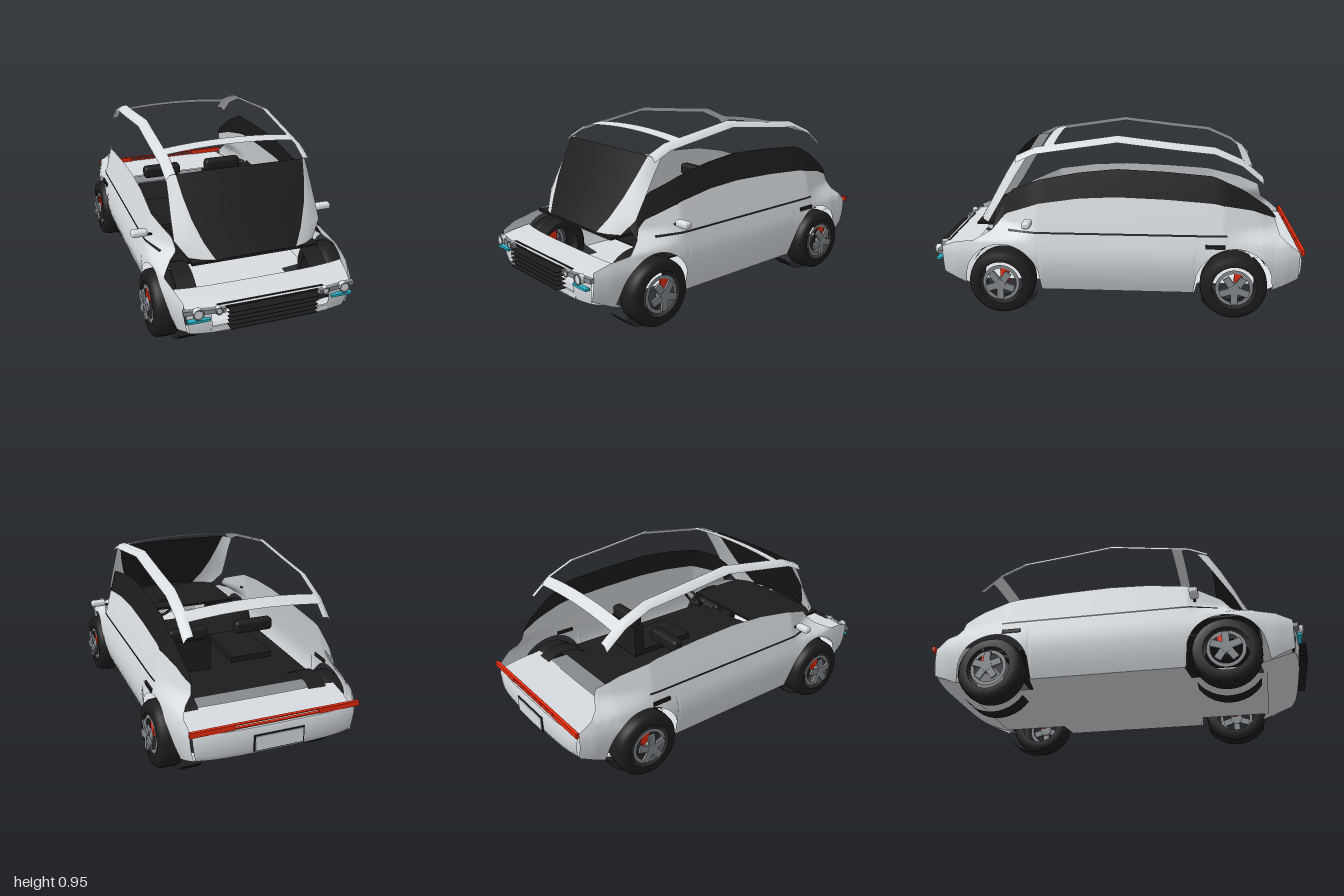
import * as THREE from 'three';
import { RoundedBoxGeometry } from 'three/addons/geometries/RoundedBoxGeometry.js';

const mat = (name, color) => {
  const m = new THREE.MeshStandardMaterial({ color, side: THREE.DoubleSide });
  m.name = name;
  return m;
};

export function createModel() {
  const car = new THREE.Group();
  car.name = 'car';
  const paint = mat('silver paint', 0xd8dce0), black = mat('black trim', 0x1d1d1d);
  const metal = mat('grey metal', 0x85898e), red = mat('red', 0xe82c10), cyan = mat('cyan lamp', 0x28b2c8);

  const add = (name, geo, m, x = 0, y = 0, z = 0, parent = car) => {
    const mesh = new THREE.Mesh(geo, m);
    mesh.name = name;
    mesh.position.set(x, y, z);
    parent.add(mesh);
    return mesh;
  };
  const box = (name, m, w, h, d, x, y, z) => add(name, new THREE.BoxGeometry(w, h, d), m, x, y, z);

  // skin stretched over equal-length rows of [x, y, z] points
  const loft = (name, m, rows) => {
    const n = rows[0].length, idx = [];
    for (let i = 0; i < rows.length - 1; i++)
      for (let j = 0; j < n - 1; j++) {
        const a = i * n + j, b = a + n;
        idx.push(a, a + 1, b, b, a + 1, b + 1);
      }
    const g = new THREE.BufferGeometry();
    g.setAttribute('position', new THREE.Float32BufferAttribute(rows.flat(2), 3));
    g.setIndex(idx);
    g.computeVertexNormals();
    return add(name, g, m);
  };

  // piecewise-linear lookup over ascending [key, value] pairs
  const lerp = (pts, t) => {
    if (t <= pts[0][0]) return pts[0][1];
    for (let i = 1; i < pts.length; i++) {
      const [a, va] = pts[i - 1], [b, vb] = pts[i];
      if (t <= b) return va + (vb - va) * (t - a) / (b - a);
    }
    return pts[pts.length - 1][1];
  };

  // body outline: half width, shoulder height, window top, sill and end lean by z
  const WIDTH = [[-0.97, 0.42], [-0.88, 0.455], [-0.75, 0.482], [-0.55, 0.495], [0.5, 0.495], [0.7, 0.485], [0.85, 0.455], [0.95, 0.42]];
  const TOP = [[-0.95, 0.37], [-0.9, 0.41], [-0.84, 0.46], [-0.82, 0.54], [-0.7, 0.585], [-0.5, 0.625], [-0.25, 0.642], [0, 0.65],
    [0.2, 0.64], [0.41, 0.61], [0.59, 0.54], [0.66, 0.46], [0.75, 0.415], [0.85, 0.4], [0.95, 0.36]];
  const GLASS = [[-0.82, 0.55], [-0.78, 0.6], [-0.65, 0.69], [-0.5, 0.76], [-0.25, 0.78], [0, 0.79], [0.2, 0.77], [0.41, 0.73], [0.55, 0.67], [0.66, 0.57]];
  const SILL = [[-0.97, 0.23], [-0.8, 0.155], [-0.75, 0.145], [0.75, 0.145], [0.78, 0.15], [0.95, 0.23]];
  const LEAN = [[-0.85, 0.06], [-0.55, 0], [0.42, 0], [0.66, 0.1], [0.75, 0.12]];
  const AXLES = [0.6, -0.61], ARCH = 0.2;
  const halfWidth = (z, y) => lerp(WIDTH, z) -
    (y < 0.35 ? 0.05 * ((0.35 - y) / 0.21) ** 2 : 0.07 * ((y - 0.35) / 0.3) ** 1.1) -
    lerp(LEAN, z) * THREE.MathUtils.clamp((y - 0.42) / 0.07, 0, 1);
  const sill = z => {
    let y = lerp(SILL, z);
    for (const a of AXLES) {
      const d = Math.abs(z - a);
      if (d < ARCH) y = Math.max(y, 0.2 + Math.sqrt(ARCH * ARCH - d * d));
    }
    return y;
  };
  const steps = (a, b, n) => Array.from({ length: n + 1 }, (_, i) => a + (b - a) * i / n);

  // side panels with open wheel arches
  for (const s of [1, -1]) {
    loft('sidePanel', paint, steps(-0.95, 0.93, 141).map(z => {
      const lo = sill(z), hi = Math.max(lo + 0.005, lerp(TOP, z));
      return steps(lo, hi, 10).map(y => [s * halfWidth(z, y), y, z]);
    }));
    loft('doorSeam', black, steps(-0.57, 0.57, 24).map(z =>
      [0.46, 0.47].map(y => [s * (halfWidth(z, y) + 0.004), y, z])));
    box('doorHandle', black, 0.015, 0.02, 0.1, s * 0.483, 0.41, -0.51);
  }
  // side glass on one side only
  loft('sideWindow', black, steps(-0.82, 0.66, 40).map(z => {
    const lo = lerp(TOP, z), hi = Math.max(lo, lerp(GLASS, z));
    return steps(lo, hi, 3).map(y => [halfWidth(z, y), y, z]);
  }));

  // panels running across the car, bowed in plan; x range as a fraction of half width
  const across = (name, m, profile, from = -1, to = 1) => loft(name, m, profile.map(([z, y]) =>
    steps(from, to, 16).map(t => [t * halfWidth(z, y), y, z - Math.sign(z) * 0.03 * Math.abs(t) ** 4])));
  across('rearPanel', paint, [[-0.78, 0.15], [-0.97, 0.215], [-0.988, 0.25], [-0.99, 0.32], [-0.98, 0.358]]);
  across('rearDeck', paint, [[-0.98, 0.358], [-0.85, 0.352], [-0.7, 0.35]], -0.95, 0.95);
  across('frontBumper', paint, [[0.78, 0.145], [0.955, 0.205]]);
  across('hood', paint, [[0.96, 0.345], [0.9, 0.352], [0.78, 0.355]]);
  for (const [a, b] of [[-1, -0.72], [0.72, 1]])
    across('frontCorner', paint, [[0.955, 0.205], [0.965, 0.27], [0.96, 0.345]], a, b);

  // underside, narrowed between the wheels
  loft('underside', paint, steps(-0.79, 0.79, 79).map(z => {
    const w = AXLES.some(a => Math.abs(z - a) < ARCH) ? 0.31 : halfWidth(z, 0.145);
    return [[-w, 0.145, z], [w, 0.145, z]];
  }));

  // windscreen and its pillars: [y, z, glass half width, outer half width]
  const SCREEN = [[0.475, 0.76, 0.21, 0.33], [0.55, 0.71, 0.255, 0.385], [0.65, 0.65, 0.295, 0.382], [0.75, 0.59, 0.32, 0.376], [0.842, 0.53, 0.335, 0.372]];
  loft('windscreen', black, SCREEN.map(([y, z, w]) =>
    steps(-1, 1, 10).map(t => [t * w, y + 0.006 * (1 - t * t), z + 0.01 * (1 - t * t)])));
  const RAIL = [[0.53, 0.845], [0.43, 0.89], [0.3, 0.91], [0, 0.955], [-0.3, 0.92], [-0.5, 0.9], [-0.64, 0.84], [-0.75, 0.75]];
  for (const s of [1, -1]) {
    loft('screenPillar', paint, SCREEN.map(([y, z, w, o]) =>
      [[s * w, y, z], [s * (w + o) / 2, y, z - 0.02], [s * o, y, z - 0.06]]));
    loft('roofRail', paint, RAIL.map(([z, y]) =>
      [[s * 0.335, y, z], [s * 0.365, y - 0.005, z], [s * 0.385, y - 0.03, z]]));
  }
  // roof crossbars
  const bar = (name, pts) => loft(name, paint, pts.map(([z, y]) =>
    steps(-0.345, 0.345, 8).map(x => [x, y + 0.02 * (1 - (x / 0.345) ** 2), z])));
  bar('frontRoofBar', [[0.39, 0.893], [0.33, 0.905]]);
  bar('rearRoofBar', [[-0.64, 0.835], [-0.695, 0.8]]);

  // cabin
  box('cabinFloor', black, 0.84, 0.008, 1.1, 0, 0.33, -0.05);
  box('parcelShelf', metal, 0.66, 0.008, 0.11, 0, 0.342, -0.645);
  box('dashboard', black, 0.66, 0.012, 0.4, 0, 0.468, 0.56);
  for (const s of [1, -1]) {
    box('seatCushion', black, 0.24, 0.03, 0.36, s * 0.19, 0.355, -0.08);
    add('headrest', new RoundedBoxGeometry(0.22, 0.07, 0.06, 3, 0.02), black, s * 0.19, 0.55, -0.26);
  }
  box('seatBack', black, 0.24, 0.18, 0.06, 0.19, 0.43, -0.26);
  const steering = add('steeringWheel', new THREE.TorusGeometry(0.07, 0.008, 6, 24), black, 0.19, 0.53, 0.22);
  steering.rotation.x = -0.5;

  // nose: thin horizontal grille slats, number plate and lamps
  for (const y of [0.24, 0.262, 0.284, 0.306, 0.328])
    box('grilleSlat', black, 0.44, 0.003, 0.05, 0, y, 0.975);
  box('grilleTop', black, 0.54, 0.03, 0.01, 0, 0.335, 0.94);
  box('lowerGrilleBar', paint, 0.6, 0.03, 0.01, 0, 0.222, 0.945);
  box('frontPlateFrame', black, 0.315, 0.08, 0.008, 0, 0.275, 0.954);
  box('frontPlate', paint, 0.305, 0.07, 0.008, 0, 0.275, 0.96);
  for (const s of [1, -1]) {
    const bezel = box('headlampBar', metal, 0.2, 0.022, 0.025, s * 0.335, 0.335, 0.955);
    bezel.rotation.y = s * 0.15;
    for (const [x, r] of [[0.37, 0.024], [0.27, 0.016]]) {
      const lamp = add('headlamp', new THREE.CylinderGeometry(r, r, 0.03, 20), paint, s * x, 0.335, 0.965);
      lamp.rotation.x = Math.PI / 2;
      add('headlampRing', new THREE.TorusGeometry(r, 0.004, 6, 24), metal, s * x, 0.335, 0.98);
    }
    box('indicator', cyan, 0.107, 0.012, 0.025, s * 0.363, 0.291, 0.957);
    // mirror on a short stalk
    add('mirror', new RoundedBoxGeometry(0.085, 0.036, 0.045, 3, 0.014), paint, s * 0.508, 0.522, 0.455);
    box('mirrorStalk', black, 0.05, 0.008, 0.012, s * 0.46, 0.508, 0.455);

    // tail lamp, solid at the outer end
    box('tailLamp', red, 0.22, 0.026, 0.017, s * 0.327, 0.371, -0.963);
  }
  // thin rods joining the tail lamps
  for (const y of [0.363, 0.382]) box('tailRod', red, 0.45, 0.005, 0.017, 0, y, -0.963);
  box('rearPlateFrame', black, 0.26, 0.085, 0.006, 0, 0.28, -0.991);
  box('rearPlate', paint, 0.245, 0.073, 0.006, 0, 0.28, -0.995);

  // wheels: tyre, open rim ring, spoked hub, brake caliper and inner liner
  const tyreProfile = [[0.114, -0.065], [0.155, -0.065], [0.17, -0.045], [0.174, 0], [0.17, 0.045], [0.155, 0.065], [0.114, 0.065]]
    .map(p => new THREE.Vector2(...p));
  const tyreGeo = new THREE.LatheGeometry(tyreProfile, 40);
  for (const s of [1, -1]) for (const z of AXLES) {
    const wheel = new THREE.Group();
    wheel.name = 'wheel';
    wheel.position.set(s * 0.45, 0.2, z);
    wheel.rotation.z = -s * Math.PI / 2;
    car.add(wheel);
    add('tyre', tyreGeo, black, 0, 0, 0, wheel);
    const ring = add('rimRing', new THREE.RingGeometry(0.078, 0.097, 36), metal, 0, 0.06, 0, wheel);
    ring.rotation.x = -Math.PI / 2;
    add('hub', new THREE.CylinderGeometry(0.028, 0.035, 0.03, 20), metal, 0, 0.075, 0, wheel);
    for (let i = 0; i < 5; i++) {
      const a = i * Math.PI * 2 / 5;
      const spoke = add('spoke', new THREE.BoxGeometry(0.055, 0.012, 0.036), metal,
        Math.cos(a) * 0.05, 0.083, Math.sin(a) * 0.05, wheel);
      spoke.rotation.y = -a;
    }
    box('brakeCaliper', red, 0.012, 0.07, 0.045, s * 0.503, 0.245, z - 0.02);
    // liner arcs above and below the axle
    for (const [mid, half] of [[Math.PI / 2, 1.1], [-Math.PI / 2, 0.95]])
      loft('wheelLiner', black, steps(mid - half, mid + half, 12).map(a =>
        [0.3, 0.4].map(x => [s * x, 0.192 + 0.192 * Math.sin(a), z + 0.192 * Math.cos(a)])));
  }
  return car;
}
